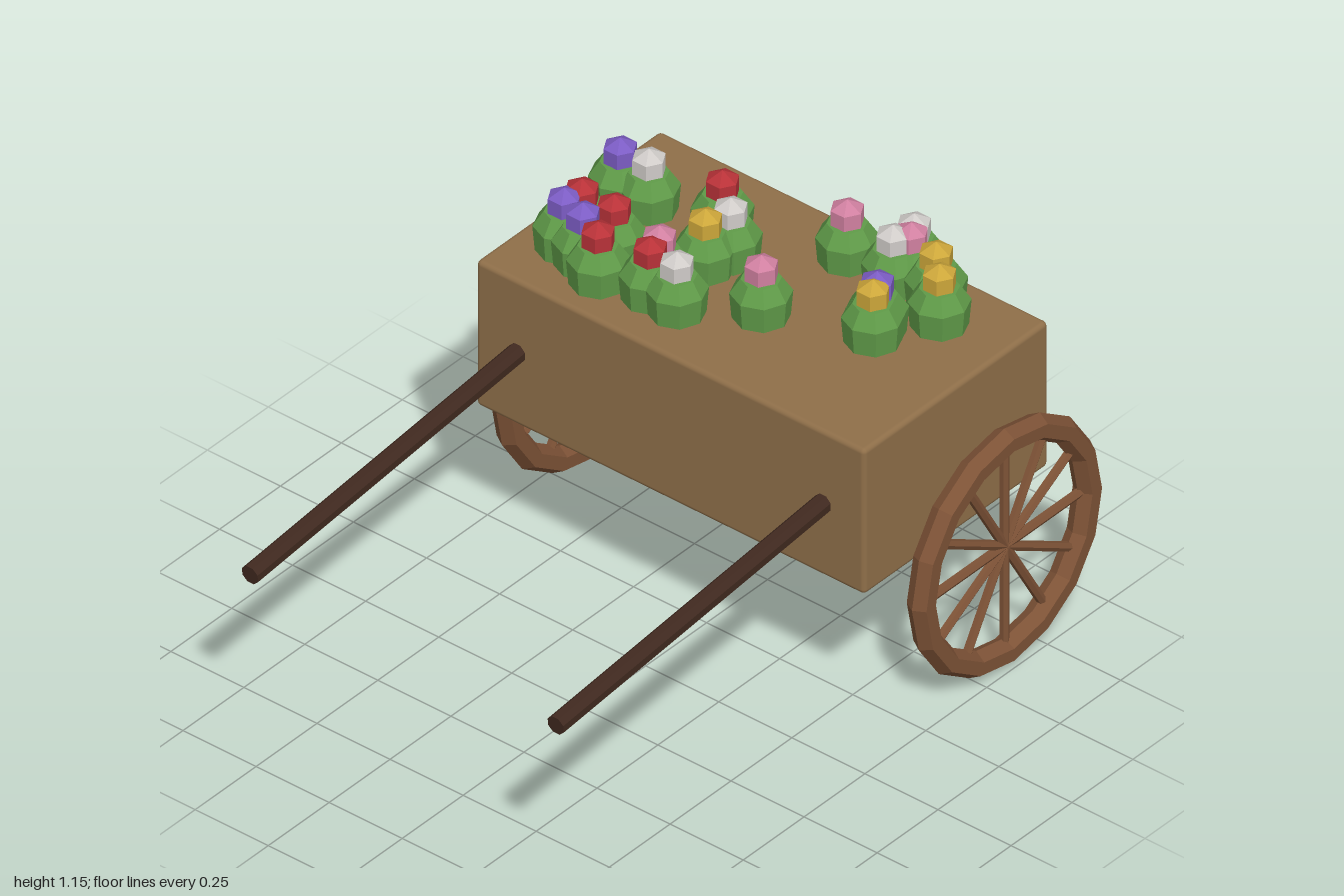
import * as THREE from 'three';
import { RoundedBoxGeometry } from 'three/addons/geometries/RoundedBoxGeometry.js';

const mat = (color, flatShading = true) => new THREE.MeshStandardMaterial({ color, flatShading });
const wood = mat(0x8f6f49, false), wheelWood = mat(0x7d5236), darkWood = mat(0x40291f), leaf = mat(0x5f9a48);
const petals = { red: mat(0xb83238), purple: mat(0x7c5cc4), white: mat(0xcfcbc8), yellow: mat(0xcca63a), pink: mat(0xd080a0) };

// Flower positions on the cart top: colour, x, z
const flowers = [
  ['purple', -0.55, -0.555], ['white', -0.46, -0.565], ['red', -0.25, -0.615], ['white', -0.155, -0.535],
  ['yellow', -0.175, -0.455], ['red', -0.51, -0.35], ['red', -0.40, -0.35], ['purple', -0.52, -0.29],
  ['purple', -0.44, -0.27], ['red', -0.355, -0.23], ['pink', -0.22, -0.32], ['red', -0.205, -0.265],
  ['white', -0.11, -0.26], ['pink', 0.07, -0.39], ['pink', 0.085, -0.725], ['white', 0.26, -0.79],
  ['pink', 0.28, -0.755], ['white', 0.25, -0.715], ['yellow', 0.385, -0.73], ['yellow', 0.455, -0.66],
  ['purple', 0.35, -0.53], ['yellow', 0.365, -0.495],
];

function add(parent, name, geometry, material, x = 0, y = 0, z = 0) {
  const mesh = new THREE.Mesh(geometry, material);
  mesh.name = name;
  mesh.position.set(x, y, z);
  parent.add(mesh);
  return mesh;
}

// Rim with six full-width rods making twelve spokes
function makeWheel(side) {
  const wheel = new THREE.Group();
  wheel.name = side > 0 ? 'leftWheel' : 'rightWheel';
  add(wheel, 'rim', new THREE.TorusGeometry(0.341, 0.039, 6, 16), wheelWood);
  const rod = new THREE.CylinderGeometry(0.014, 0.014, 0.66, 6);
  for (let i = 0; i < 6; i++) add(wheel, 'spoke', rod, wheelWood).rotation.z = i * Math.PI / 6;
  wheel.rotation.y = Math.PI / 2;
  wheel.position.set(side * 0.713, 0.382, -0.617);
  return wheel;
}

export function createModel() {
  const cart = new THREE.Group();
  cart.name = 'flowerCart';

  // Closed cart body
  add(cart, 'cartBody', new RoundedBoxGeometry(1.33, 0.472, 0.757, 2, 0.015), wood, 0, 0.72, -0.478);

  // Wheels and sloping pull handles
  const handle = new THREE.CylinderGeometry(0.029, 0.029, 1.16, 8);
  handle.rotateY(Math.PI / 8);
  for (const side of [1, -1]) {
    cart.add(makeWheel(side));
    const h = add(cart, side > 0 ? 'leftHandle' : 'rightHandle', handle, darkWood, side * 0.523, 0.67, 0.42);
    h.rotation.x = Math.PI / 2 + 0.098;
  }

  // Leafy clumps, each topped by one blossom
  const clump = new THREE.LatheGeometry(
    [[0, 0.95], [0.078, 0.95], [0.085, 1.035], [0.055, 1.08], [0, 1.083]].map(p => new THREE.Vector2(...p)), 8);
  const blossom = new THREE.SphereGeometry(0.054, 6, 3);
  for (const [color, x, z] of flowers) {
    const plant = new THREE.Group();
    plant.name = color + 'Flower';
    plant.position.set(x, 0, z);
    add(plant, 'leaves', clump, leaf);
    add(plant, 'blossom', blossom, petals[color], 0, 1.1, 0);
    cart.add(plant);
  }
  return cart;
}
